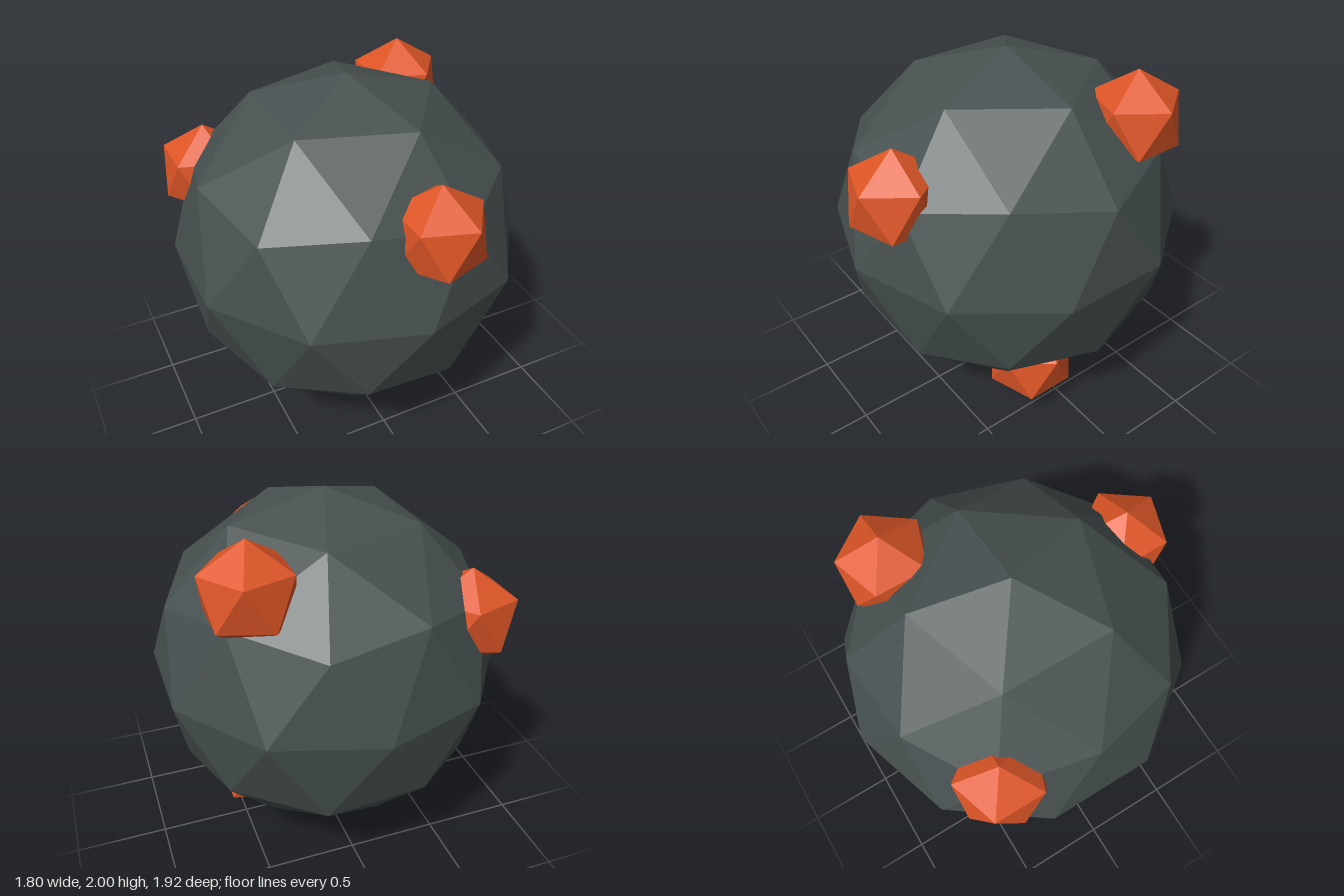
import * as THREE from 'three';

// Faceted ball with vertices at its top and bottom poles
function ball(name, radius, detail, color, position) {
  const geometry = new THREE.IcosahedronGeometry(radius, detail);
  geometry.rotateZ(-Math.atan(2 / (1 + Math.sqrt(5))));
  geometry.computeVertexNormals();
  const material = new THREE.MeshStandardMaterial({ color, flatShading: true });
  const mesh = new THREE.Mesh(geometry, material);
  mesh.name = name;
  mesh.position.set(...position);
  return mesh;
}

export function createModel() {
  const group = new THREE.Group();
  group.name = 'studdedBall';

  // Large dark body
  group.add(ball('body', 0.9475, 1, 0x475050, [0, 1.0525, -0.01]));

  // Orange lumps half sunk into the body
  const lumps = {
    frontLump: [0.118, 1.47, 0.735],
    backLeftLump: [0.515, 1.69, -0.415],
    backRightLump: [-0.63, 1.39, -0.46],
    bottomLump: [0.39, 0.265, 0.11],
  };
  for (const [name, position] of Object.entries(lumps)) {
    group.add(ball(name, 0.262, 0, 0xdd5526, position));
  }
  return group;
}
